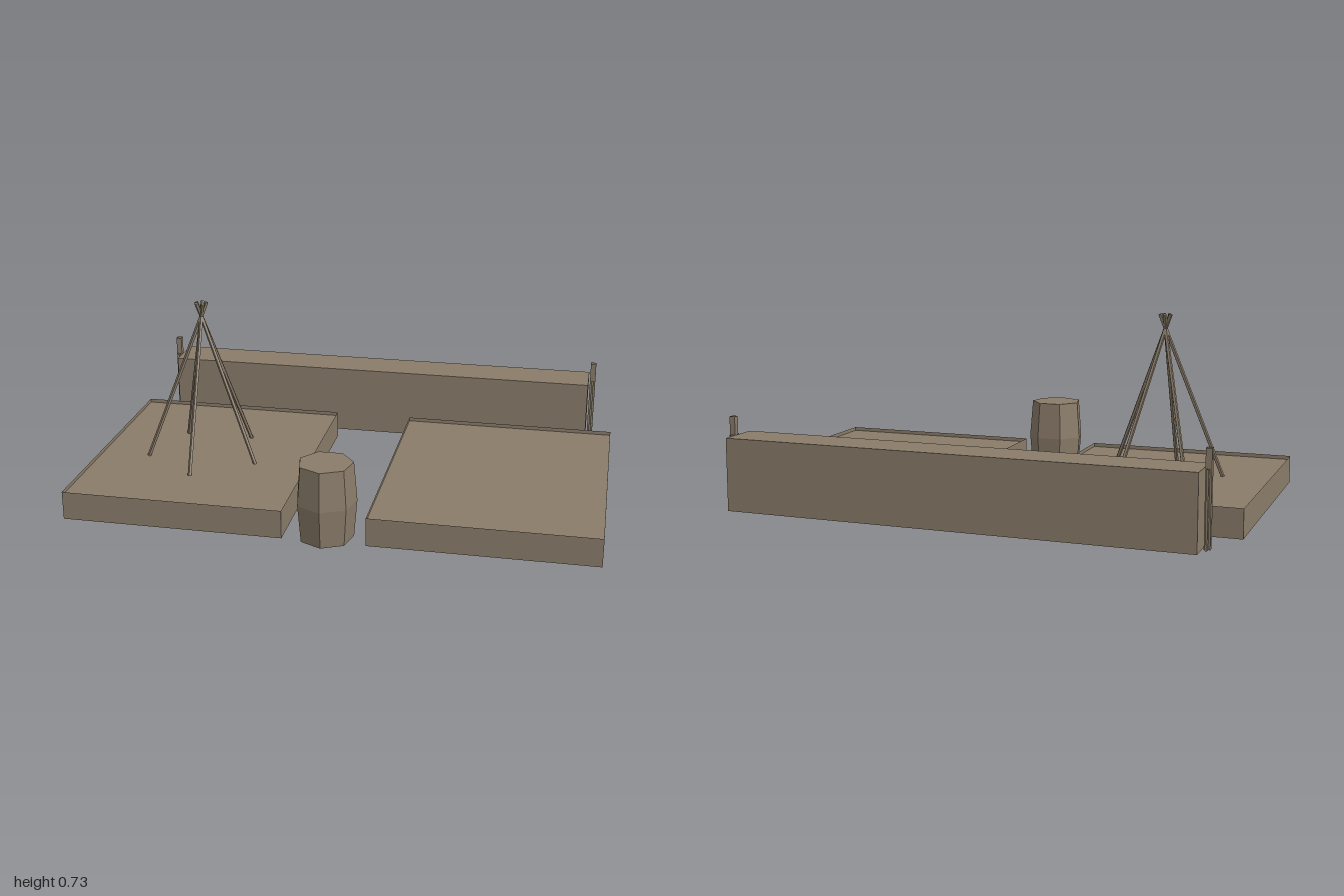
import * as THREE from 'three';

const material = new THREE.MeshStandardMaterial({ color: 0x8a7c6a, flatShading: true, side: THREE.DoubleSide });

function add(parent, name, geometry, x = 0, y = 0, z = 0) {
  const mesh = new THREE.Mesh(geometry, material);
  mesh.name = name;
  mesh.position.set(x, y, z);
  parent.add(mesh);
  return mesh;
}

function addGroup(parent, name) {
  const group = new THREE.Group();
  group.name = name;
  parent.add(group);
  return group;
}

// Four walls without top or bottom
function openBox(w, h, d) {
  return new THREE.CylinderGeometry(Math.SQRT1_2, Math.SQRT1_2, 1, 4, 1, true)
    .rotateY(Math.PI / 4).scale(w, h, d);
}

export function createModel() {
  const model = new THREE.Group();
  model.name = 'vegetableGarden';

  // Two raised beds: thin frames with the soil just below the rim
  for (const side of [-1, 1]) {
    const bed = addGroup(model, side < 0 ? 'rightBed' : 'leftBed');
    const x = side * 0.578;
    add(bed, 'bedFrame', openBox(0.843, 0.11, 1), x, 0.055, 0.095);
    add(bed, 'soil', new THREE.PlaneGeometry(0.843, 1).rotateX(-Math.PI / 2), x, 0.095, 0.095);
  }

  // Long planter along the back
  add(model, 'backPlanter', new THREE.BoxGeometry(1.79, 0.278, 0.17), 0, 0.139, -0.574);

  // Stakes at the planter ends, each with a shorter flat batten
  for (const side of [-1, 1]) {
    const stake = addGroup(model, side < 0 ? 'rightStake' : 'leftStake');
    add(stake, 'stakePost', openBox(0.022, 0.347, 0.022), side * 0.912, 0.1735, -0.574);
    add(stake, 'stakeBatten', openBox(0.008, 0.278, 0.056), side * 0.912, 0.139, -0.574);
  }

  // Seven-sided barrel, bulging at mid height
  const profile = [[0, 0], [0.1025, 0], [0.1145, 0.145], [0.1025, 0.294], [0, 0.294]]
    .map(([r, y]) => new THREE.Vector2(r, y));
  add(model, 'barrel', new THREE.LatheGeometry(profile, 7), 0, 0, 0.545);

  // Five leaning poles that cross near the top
  const poles = addGroup(model, 'poleTripod');
  poles.name = 'beanPoles';
  poles.position.set(-0.588, 0, 0.095);
  const up = new THREE.Vector3(0, 1, 0);
  for (let i = 0; i < 5; i++) {
    const a = (i / 5) * Math.PI * 2;
    const foot = new THREE.Vector3(Math.sin(a) * 0.23, 0.095, Math.cos(a) * 0.23);
    const tip = new THREE.Vector3(-Math.sin(a) * 0.022, 0.725, -Math.cos(a) * 0.022);
    const dir = tip.clone().sub(foot);
    const pole = add(poles, 'beanPole', new THREE.CylinderGeometry(0.008, 0.008, dir.length(), 5));
    pole.position.copy(foot).add(tip).multiplyScalar(0.5);
    pole.quaternion.setFromUnitVectors(up, dir.normalize());
  }

  return model;
}
